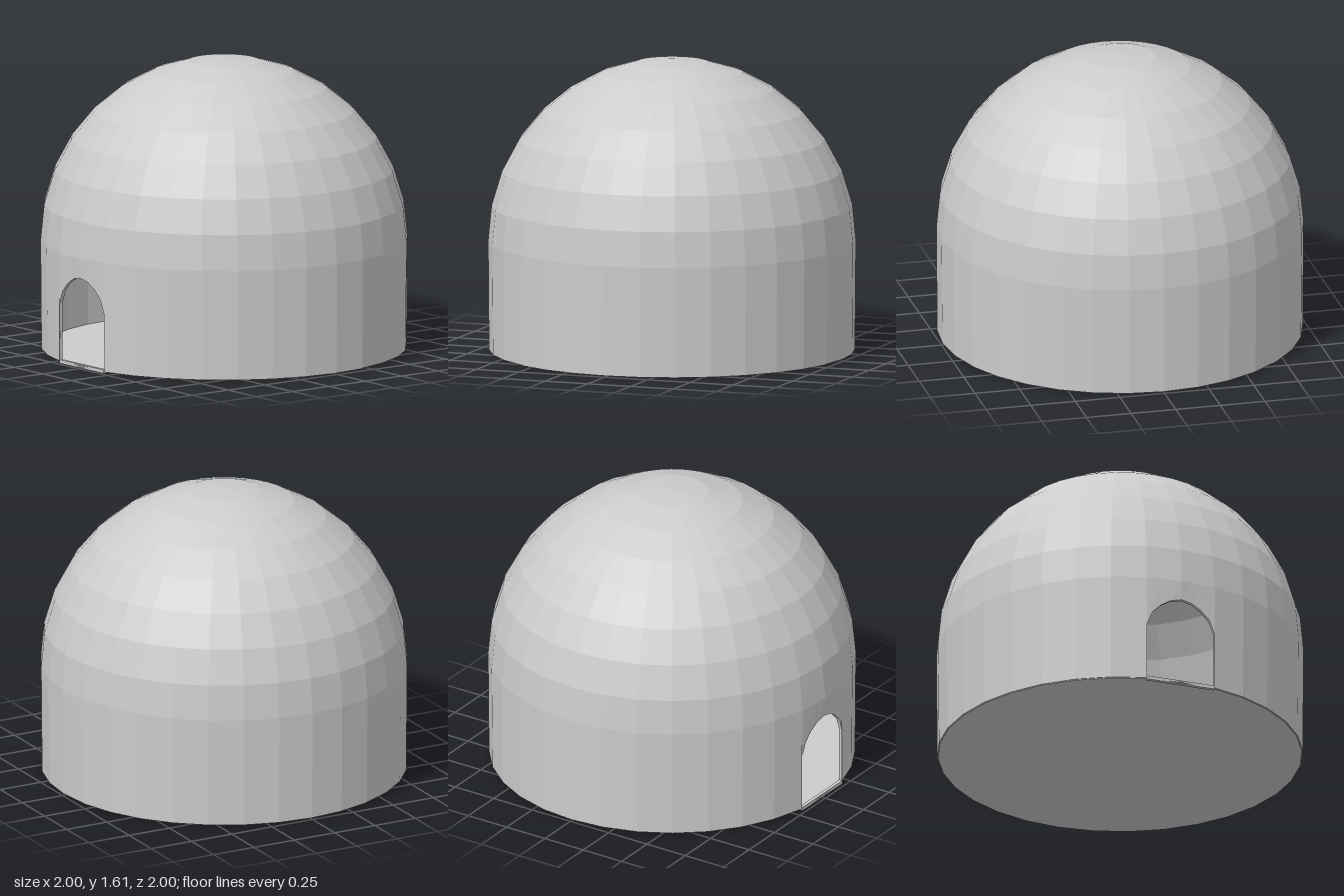
import * as THREE from 'three';

const SIDES = 32, SPRING = 0.61, BASE = 0.01, THICK = 0.02;

function mesh(name, geometry) {
  const material = new THREE.MeshStandardMaterial({ color: 0xcccccc, flatShading: true });
  const m = new THREE.Mesh(geometry, material);
  m.name = name;
  return m;
}

// Quarter circle from the springing line up to the crown
function arc(radius) {
  return Array.from({ length: 9 }, (_, i) => {
    const a = (i / 8) * Math.PI / 2;
    return new THREE.Vector2(i === 8 ? 0 : radius * Math.cos(a), SPRING + radius * Math.sin(a));
  });
}

// Wall bay above the arched doorway, with its inner face and jambs
function doorBay() {
  const half = Math.sin(2 * Math.PI / SIDES);
  const edgeZ = Math.cos(2 * Math.PI / SIDES);
  const right = [[0.06, 0.487], [0.115, 0.455], [0.165, 0.405], [half, 0.33], [half, BASE]];
  const arch = [...right.map(([x, y]) => [-x, y]).reverse(), [0, 0.5], ...right];
  const pos = [];
  const quad = (a, b, c, d) => pos.push(...a, ...b, ...c, ...a, ...c, ...d);
  const low = (p, back) => [p[0], p[1], edgeZ + 0.013 * (1 - Math.abs(p[0]) / half) - back];
  const high = (p, back) => [p[0], SPRING, 1 - (1 - edgeZ) * Math.abs(p[0]) / half - back];
  for (let i = 0; i < arch.length - 1; i++) {
    const a = arch[i], b = arch[i + 1];
    quad(low(a, 0), low(a, THICK), low(b, THICK), low(b, 0));
    if (a[0] === b[0]) continue;
    quad(low(a, 0), low(b, 0), high(b, 0), high(a, 0));
    quad(low(b, THICK), low(a, THICK), high(a, THICK), high(b, THICK));
  }
  const g = new THREE.BufferGeometry();
  g.setAttribute('position', new THREE.Float32BufferAttribute(pos, 3));
  g.computeVertexNormals();
  return g;
}

export function createModel() {
  const group = new THREE.Group();
  group.name = 'domedHut';

  // Hollow dome: outer skin up, inner skin down
  const dome = [...arc(1), ...arc(1 - THICK).reverse()];
  group.add(mesh('dome', new THREE.LatheGeometry(dome, SIDES)));

  // Hollow wall, leaving out the two facets at the doorway
  const step = 2 * Math.PI / SIDES;
  const wall = [[0.975, BASE], [0.995, BASE], [1, SPRING], [1 - THICK, SPRING], [0.975, BASE]]
    .map(([x, y]) => new THREE.Vector2(x, y));
  group.add(mesh('wall', new THREE.LatheGeometry(wall, SIDES - 2, step, 2 * Math.PI - 2 * step)));

  group.add(mesh('doorway', doorBay()));

  // Thin floor closing the underside
  const floor = mesh('floor', new THREE.CylinderGeometry(0.99, 0.99, 0.008, SIDES));
  floor.position.y = 0.01;
  group.add(floor);

  // Low sill across the doorway
  const sill = mesh('doorSill', new THREE.BoxGeometry(0.39, 0.02, THICK));
  sill.position.set(0, 0.01, 0.972);
  group.add(sill);

  return group;
}
